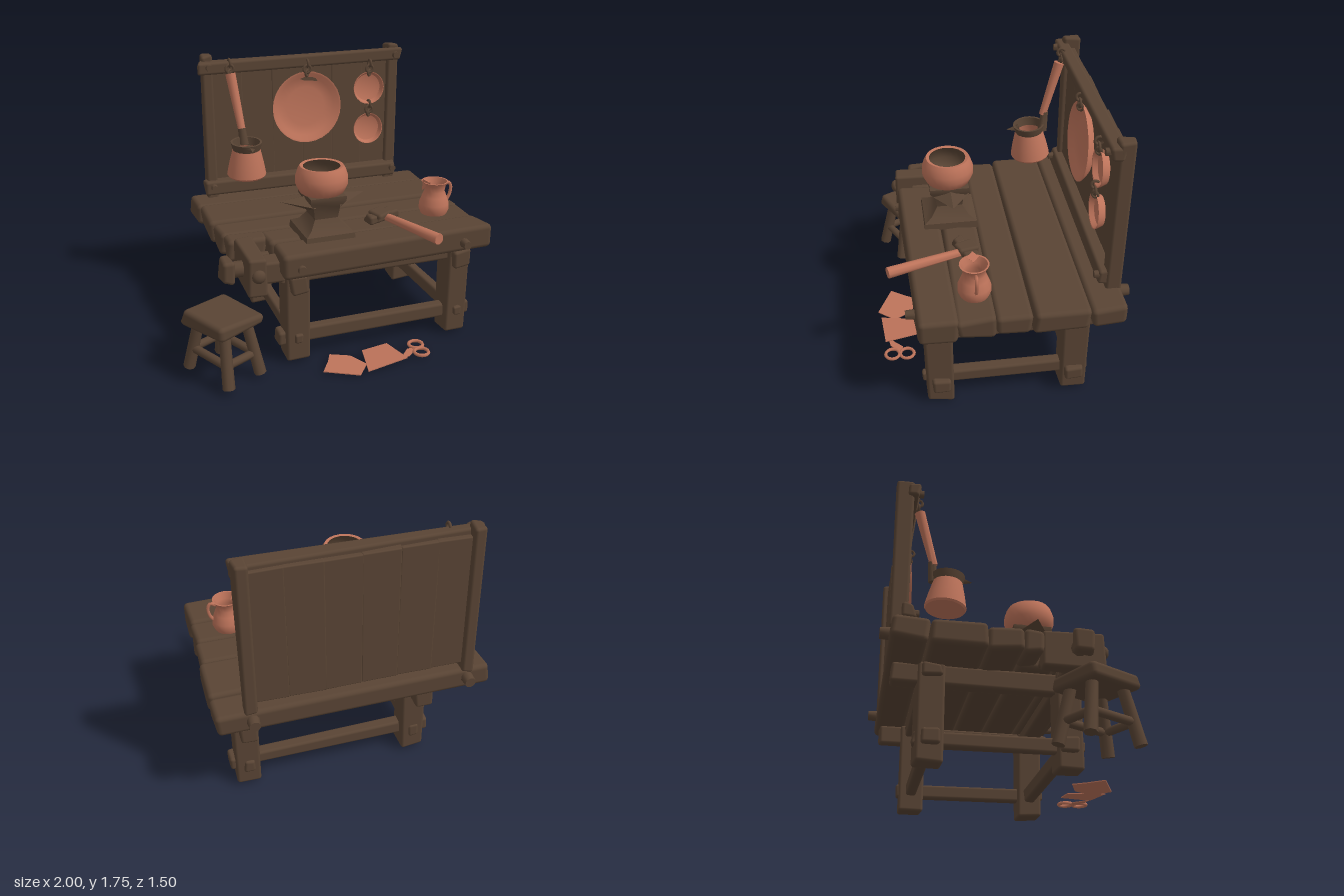
import * as THREE from 'three';
import { toCreasedNormals } from 'three/addons/utils/BufferGeometryUtils.js';
import { RoundedBoxGeometry } from 'three/addons/geometries/RoundedBoxGeometry.js';

const wood = new THREE.MeshStandardMaterial({ color: 0x594434, side: THREE.DoubleSide });
wood.name = 'dark wood and iron';
const copper = new THREE.MeshStandardMaterial({ color: 0xbd735a, side: THREE.DoubleSide });
copper.name = 'copper';

const V = (x, y, z) => new THREE.Vector3(x, y, z);
let seed = 7;
const rand = () => (seed = (seed * 16807) % 2147483647) / 2147483647 - 0.5;

export function createModel() {
  const root = new THREE.Group();
  root.name = 'coppersmithWorkbench';

  const add = (parent, name, geo, mat = wood, pos) => {
    const m = new THREE.Mesh(geo, mat);
    m.name = name;
    if (pos) m.position.set(...pos);
    parent.add(m);
    return m;
  };
  const group = (name, x = 0, y = 0, z = 0) => {
    const g = new THREE.Group();
    g.name = name;
    g.position.set(x, y, z);
    root.add(g);
    return g;
  };

  // Hand-hewn timber: rounded box whose eight corners are nudged a little
  const beam = (parent, name, x0, x1, y0, y1, z0, z1, mat = wood, wobble = 0.014, r = 0.018) => {
    const w = x1 - x0, h = y1 - y0, d = z1 - z0;
    const geo = new RoundedBoxGeometry(w, h, d, 2, Math.min(r, w / 3, h / 3, d / 3));
    const off = Array.from({ length: 8 }, () => [rand() * wobble, rand() * wobble, rand() * wobble]);
    const p = geo.attributes.position;
    for (let i = 0; i < p.count; i++) {
      const o = off[(p.getX(i) > 0 ? 1 : 0) + (p.getY(i) > 0 ? 2 : 0) + (p.getZ(i) > 0 ? 4 : 0)];
      p.setXYZ(i, p.getX(i) + o[0], p.getY(i) + o[1], p.getZ(i) + o[2]);
    }
    return add(parent, name, geo, mat, [(x0 + x1) / 2, (y0 + y1) / 2, (z0 + z1) / 2]);
  };

  // Tapered rod between two points
  const rod = (parent, name, a, b, ra, rb, mat = wood, sides = 10) => {
    const dir = b.clone().sub(a);
    const m = add(parent, name, toCreasedNormals(new THREE.CylinderGeometry(rb, ra, dir.length(), sides), 0.9), mat);
    m.position.copy(a).addScaledVector(dir, 0.5);
    m.quaternion.setFromUnitVectors(V(0, 1, 0), dir.normalize());
    return m;
  };
  const lathe = (parent, name, pts, mat = copper, sides = 24, crease = 0.7) =>
    add(parent, name, toCreasedNormals(new THREE.LatheGeometry(pts.map(p => new THREE.Vector2(...p)), sides), crease), mat);
  const ring = (parent, name, x, y, z, r, t, turn = 0, mat = wood) => {
    const m = add(parent, name, new THREE.TorusGeometry(r, t, 6, 14), mat, [x, y, z]);
    m.rotation.y = turn;
    return m;
  };

  // Table top planks
  const table = group('table');
  [[-.71, .98, -.70, -.485], [-.69, .99, -.48, -.15], [-.68, .98, -.145, .065], [-.66, -.41, .06, .19],
    [-.42, .98, .07, .29], [-.41, .985, .295, .54]].forEach(([x0, x1, z0, z1], i) =>
    beam(table, 'tablePlank', x0, x1, .615, .755 + (i % 2) * .01, z0, z1, wood, .02, .03));
  table.children[5].rotation.y = .025;

  // Legs, aprons, stretchers and through-tenons
  for (const x of [-.305, .785]) {
    for (const z of [.395, -.435]) beam(table, 'leg', x - .078, x + .078, .02, .63, z - .082, z + .082);
    beam(table, 'sideApron', x - .055, x + .055, .50, .62, -.67, .52);
    beam(table, 'sideStretcher', x - .035, x + .035, .125, .215, -.53, .45);
    const out = Math.sign(x);
    for (const z of [.385, -.43]) {
      const a = x + out * .06, b = x + out * .115;
      beam(table, 'tenon', Math.min(a, b), Math.max(a, b), .12, .21, z - .055, z + .055, wood, .006);
    }
    beam(table, 'legPeg', x - .025, x + .025, .15, .21, .46, .495, wood, .006);
    rod(table, 'plankPeg', V(x, .68, .5), V(x, .68, .575), .032, .026);
  }
  for (const z of [.39, -.43]) {
    beam(table, 'longApron', -.41, .87, .54, .62, z - .06, z + .06);
    beam(table, 'longStretcher', -.38, .86, .12, .21, z - .035, z + .035);
  }

  // Bench vise at the left end
  const vise = group('vise');
  beam(vise, 'viseJaw', -.63, -.515, .55, .78, .18, .56);
  beam(vise, 'viseRail', -.53, -.38, .57, .71, .33, .46);
  beam(vise, 'viseRail', -.53, -.40, .62, .67, .2, .25);
  rod(vise, 'viseScrew', V(-.7, .67, .395), V(-.6, .67, .395), .05, .05);
  beam(vise, 'viseScrewHead', -.76, -.69, .60, .745, .33, .46, wood, .02, .03);
  const knob = add(vise, 'viseKnob', new THREE.SphereGeometry(.042, 12, 8), wood, [-.57, .68, .56]);
  knob.scale.z = .7;

  // Back rack: posts, panel boards and rails
  const rack = group('backRack');
  for (const x of [-.565, .765]) {
    beam(rack, 'rackPost', x - .04, x + .04, .74, 1.745, -.70, -.60);
    for (const y of [1.675, .84]) rod(rack, 'rackPeg', V(x, y, -.6), V(x, y, -.535), .026, .022);
    rod(rack, 'rackBackBolt', V(x, .7, -.68), V(x, .7, -.755), .04, .034);
  }
  for (let i = 0; i < 6; i++) {
    const x = -.55 + i * .2175;
    beam(rack, 'panelBoard', x - .004, x + .222, .8, 1.68, -.67, -.63, wood, .008, .008);
  }
  beam(rack, 'topRail', -.63, .81, 1.63, 1.715, -.64, -.56, wood, .02);
  beam(rack, 'bottomRail', -.63, .80, .79, .885, -.64, -.56, wood, .02);

  // Hanging pans with their hooks
  const pan = (name, x, y, z, r, tilt) => {
    const g = group(name, x, y, z);
    g.rotation.x = Math.PI / 2 + tilt;
    lathe(g, name + 'Dish', [[0, 0], [r * .55, .002], [r * .82, .012], [r * .95, .04], [r, .042], [r * .98, .03], [r * .84, -.004], [0, -.014]], copper, 28);
    return g;
  };
  const big = pan('largePan', .11, 1.35, -.6, .248, -.06);
  const patch = new THREE.Shape([[-.06, .01], [-.02, .022], [.05, .016], [.07, -.016], [.03, -.008], [-.03, -.002]]
    .map(p => new THREE.Vector2(...p)));
  const stain = add(big, 'panStain', new THREE.ShapeGeometry(patch), wood, [.02, .016, -.185]);
  stain.rotation.x = -Math.PI / 2;
  pan('upperPan', .57, 1.45, -.6, .114, -.06);
  pan('lowerPan', .57, 1.155, -.6, .11, -.06);
  const hooks = group('hooks');
  for (const [x, y] of [[.11, 1.62], [.57, 1.59], [.57, 1.3], [-.43, 1.66]]) {
    ring(hooks, 'hookRing', x, y, -.555, .026, .009);
    ring(hooks, 'hookLink', x, y + .04, -.555, .024, .009, Math.PI / 2);
    ring(hooks, 'hookEye', x, y - .03, -.56, .02, .008, .8);
  }

  // Hanging long-handled pitcher
  const pitcher = group('hangingPitcher', -.385, .98, -.365);
  pitcher.rotation.x = .07;
  lathe(pitcher, 'pitcherBody', [[0, 0], [.122, 0], [.13, .012], [.115, .09], [.092, .185], [.084, .185], [.11, .08], [.115, .02]]);
  lathe(pitcher, 'pitcherRim', [[.09, .18], [.096, .2], [.104, .235], [.09, .235], [.082, .18]], wood);
  const spout = add(pitcher, 'pitcherSpout', new THREE.ConeGeometry(.05, .085, 4), wood, [0, .215, .11]);
  spout.rotation.x = Math.PI / 2;
  spout.scale.z = .45;
  const arm = group('pitcherHandle');
  rod(arm, 'handleSocket', V(-.375, 1.17, -.44), V(-.39, 1.30, -.455), .032, .024);
  rod(arm, 'handleGrip', V(-.39, 1.28, -.442), V(-.428, 1.63, -.545), .025, .034, copper);

  // Anvil: four-sided profile with two horns
  const anvil = group('anvil', -.065, 0, .23);
  const block = lathe(anvil, 'anvilBody', [[0, .755], [.16, .755], [.155, .8], [.11, .825], [.075, .88], [.085, .95], [.115, 1.0], [.115, 1.03], [0, 1.03]]
    .map(([x, y]) => [x * Math.SQRT2, y]), wood, 4);
  block.geometry.rotateY(Math.PI / 4);
  block.scale.z = 1.08;
  for (const s of [-1, 1]) {
    const geo = new THREE.ConeGeometry(.12, .2, 4);
    geo.rotateZ(-s * Math.PI / 2);
    geo.scale(1, .42, 1);
    geo.translate(s * .178, .965, -.005);
    const p = geo.attributes.position;
    for (let i = 0; i < p.count; i++) if (Math.abs(p.getX(i)) > .25) p.setY(i, .995);
    add(anvil, 'anvilHorn', toCreasedNormals(geo, .5));
  }

  // Round pot on the anvil, dark inside
  const pot = group('pot', -.068, 1.01, .23);
  lathe(pot, 'potBody', [[0, .005], [.105, .005], [.14, .03], [.163, .08], [.163, .125], [.148, .17], [.135, .192], [.115, .188]], copper, 24, 1.2);
  lathe(pot, 'potInside', [[.115, .188], [.138, .15], [.15, .1], [.125, .045], [0, .025]], wood, 24, 1.2);

  // Jug with lip and handle
  const jug = group('jug', .745, .76, .165);
  lathe(jug, 'jugBody', [[0, 0], [.085, 0], [.1, .035], [.098, .07], [.08, .12], [.066, .155], [.072, .195], [.088, .22], [.078, .22], [.06, .18], [.055, .15], [.085, .06], [0, .02]], copper, 20, .9);
  const lip = add(jug, 'jugLip', new THREE.ConeGeometry(.035, .07, 4), copper, [-.075, .195, 0]);
  lip.rotation.z = Math.PI - .5;
  add(jug, 'jugHandle', new THREE.TubeGeometry(new THREE.CatmullRomCurve3(
    [V(.07, .185, 0), V(.1, .2, 0), V(.118, .17, 0), V(.11, .11, 0), V(.085, .07, 0)]), 14, .011, 6), copper);

  // Hammer lying on the bench
  const hammer = group('hammer', .365, .79, .165);
  hammer.rotation.y = .3;
  beam(hammer, 'hammerHead', -.07, .055, -.033, .033, -.06, .06, wood, .02);
  beam(hammer, 'hammerPeen', -.125, -.05, -.025, .025, -.025, .05, wood, .02);
  beam(hammer, 'hammerFace', .04, .115, -.028, .028, -.05, .05, wood, .01);
  rod(hammer, 'hammerGrip', V(.01, 0, .04), V(.015, .006, .52), .025, .035, copper);

  // Stool
  const stool = group('stool', -.77, 0, .44);
  stool.rotation.y = .47;
  beam(stool, 'stoolSeat', -.17, .17, .35, .432, -.185, .185, wood, .02, .035);
  for (const sx of [-1, 1]) {
    for (const sz of [-1, 1])
      rod(stool, 'stoolLeg', V(sx * .125, .035, sz * .185), V(sx * .085, .37, sz * .115), .038, .034, wood, 8);
    rod(stool, 'stoolSideBar', V(sx * .11, .17, -.155), V(sx * .11, .17, .155), .026, .026, wood, 8);
    rod(stool, 'stoolEndBar', V(-.11, .17, sx * .155), V(.11, .17, sx * .155), .026, .026, wood, 8);
  }

  // Copper offcuts and shears on the floor
  const scraps = group('floorScraps');
  const sheet = (name, pts, y, tilt) => {
    const geo = new THREE.ExtrudeGeometry(new THREE.Shape(pts.map(([x, z]) => new THREE.Vector2(x, -z))), { depth: .006, bevelEnabled: false });
    geo.rotateX(-Math.PI / 2);
    const p = geo.attributes.position;
    for (let i = 0; i < p.count; i++) p.setY(i, p.getY(i) + y + tilt * p.getX(i));
    geo.computeVertexNormals();
    add(scraps, name, geo, copper);
  };
  sheet('cutSheet', [[-.205, .65], [-.14, .55], [-.1, .47], [.02, .52], [.085, .64], [0, .75]], .009, -.04);
  sheet('squareSheet', [[.06, .73], [.11, .5], [.28, .5], [.33, .71]], .004, .11);
  sheet('shearBlades', [[.29, .69], [.38, .6], [.44, .61], [.36, .68]], .02, .03);
  for (const [x, z] of [[.445, .67], [.45, .575]]) {
    const loop = add(scraps, 'shearLoop', new THREE.TorusGeometry(.045, .011, 6, 16), copper, [x, .04, z]);
    loop.rotation.x = Math.PI / 2;
  }
  return root;
}
